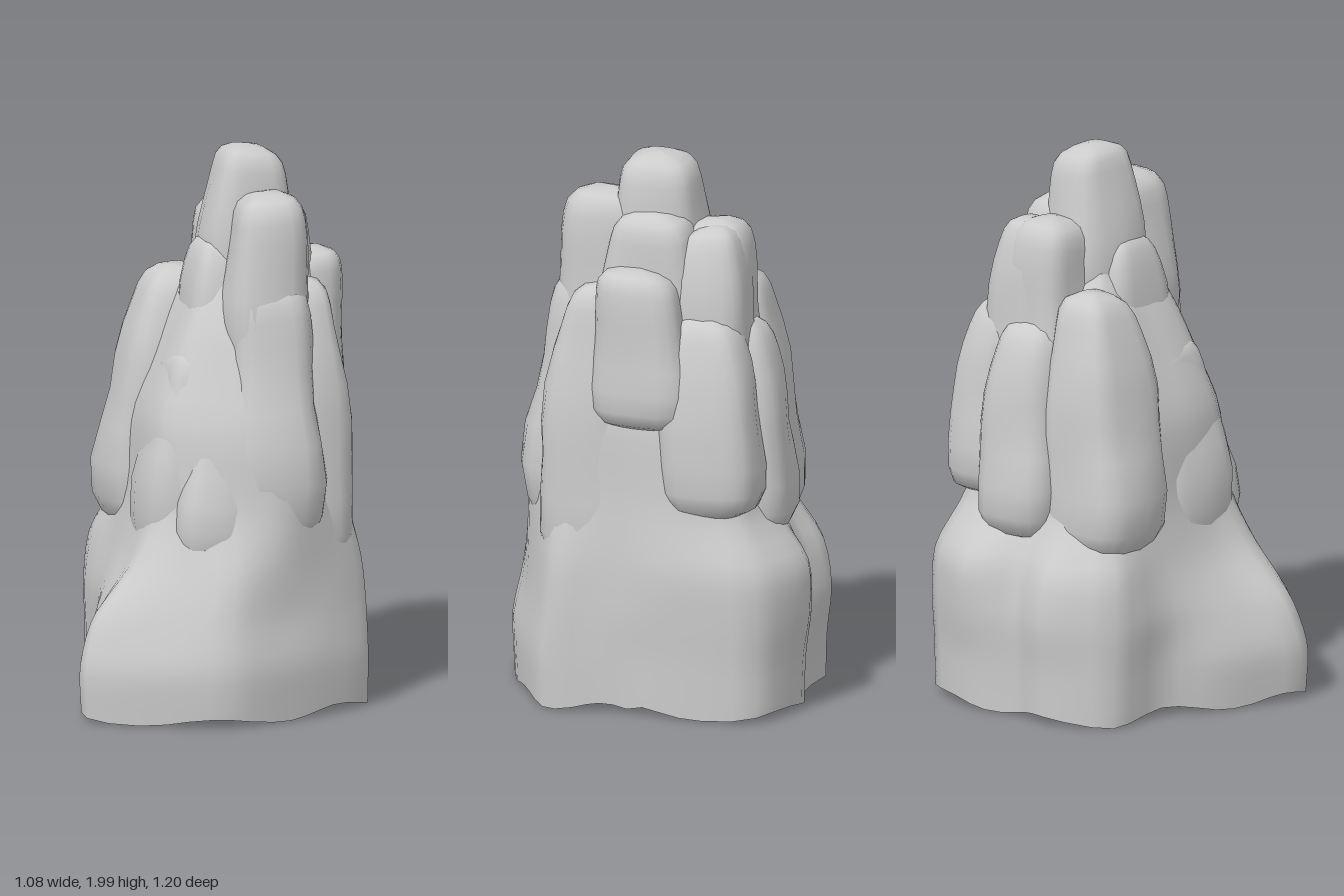
import * as THREE from 'three';

const stone = new THREE.MeshStandardMaterial({ color: 0xcccccc, side: THREE.DoubleSide });

// Smooth repeatable lumpiness, roughly -1..1
const lump = (x, y, z, s) =>
  (Math.sin(x * 13 + s * 1.7 + z * 6) + Math.sin(y * 11 + s * 2.3 + x * 7) + Math.sin(z * 14 + s * 3.1 - y * 5)) / 3;

// Plan outlines [x, z], going round from +x through the front
const foot = [[.50, 0], [.51, .15], [.52, .31], [.36, .43], [.18, .52], [-.05, .59], [-.28, .51], [-.53, .36], [-.50, .2],
  [-.43, 0], [-.33, -.18], [-.32, -.42], [-.1, -.55], [.06, -.52], [.24, -.57], [.49, -.48], [.52, -.2]];
const skirt = [[.51, 0], [.51, .15], [.52, .29], [.36, .41], [.18, .49], [-.05, .56], [-.27, .46], [-.49, .33], [-.44, .18],
  [-.39, 0], [-.34, -.18], [-.33, -.42], [-.1, -.57], [.06, -.53], [.24, -.6], [.5, -.49], [.53, -.2]];
const ledge = [[.5, 0], [.5, .15], [.5, .28], [.35, .39], [.18, .48], [-.02, .52], [-.2, .41], [-.33, .29], [-.32, .15],
  [-.31, 0], [-.30, -.18], [-.31, -.4], [-.1, -.54], [.06, -.5], [.24, -.59], [.49, -.47], [.53, -.2]];
const waist = [[.48, 0], [.48, .15], [.45, .28], [.33, .38], [.18, .46], [0, .43], [-.15, .35], [-.24, .25], [-.26, .12],
  [-.26, 0], [-.26, -.18], [-.23, -.34], [-.08, -.41], [.06, -.41], [.24, -.43], [.42, -.39], [.49, -.2]];

const shrink = (o, k) => o.map(([x, z]) => [.17 + (x - .17) * k, z * k]);

// Skin over equal rings of points, listed from the bottom up
function skin(rings) {
  const n = rings[0].length, index = [];
  for (let j = 0; j < rings.length - 1; j++)
    for (let i = 0; i < n; i++) {
      const a = j * n + i, b = j * n + (i + 1) % n;
      index.push(a, a + n, b, b, a + n, b + n);
    }
  const g = new THREE.BufferGeometry().setFromPoints(rings.flat());
  g.setIndex(index);
  g.computeVertexNormals();
  return g;
}

// Lofted core, open underneath
function coreGeometry() {
  const levels = [[.02, foot], [.2, shrink(foot, 1.01)], [.37, skirt], [.55, ledge], [.76, waist],
    [1.05, shrink(waist, .93)], [1.3, shrink(waist, .72)], [1.5, shrink(waist, .5)], [1.68, shrink(waist, .25)]];
  const rows = 30, cols = 51, rings = Array.from({ length: rows + 1 }, () => []);
  const hoops = levels.map(([y, o]) =>
    new THREE.CatmullRomCurve3(o.map(([x, z]) => new THREE.Vector3(x, y, z)), true, 'catmullrom', .4));
  for (let i = 0; i < cols; i++) {
    const rib = new THREE.CatmullRomCurve3(hoops.map(h => h.getPoint(i / cols)), false, 'catmullrom', .4);
    for (let j = 0; j <= rows; j++) {
      const p = rib.getPoint(j / rows);
      const k = 1 + .03 * lump(p.x, p.y, p.z, 2) * Math.min(1, p.y);
      p.set(.1 + (p.x - .1) * k, p.y + (j ? 0 : .015 * Math.sin(i * .9)), p.z * k);
      rings[j].push(p);
    }
  }
  return skin(rings);
}

// Height and width fractions of a weathered block: undercut foot, upright side, blunt sloping top
const profile = [[0, .5], [.04, .8], [.12, .95], [.25, 1], [.4, 1], [.55, .99], [.68, .97], [.79, .93], [.88, .87],
  [.94, .8], [.98, .66], [1, .4], [1, 0]];

// Squarish block filling the x, y and z ranges, narrowing and leaning upward
function blockGeometry([x0, x1], [y0, y1], [z0, z1], taper, leanX, leanZ, seed) {
  const sides = 20, sq = v => Math.sign(v) * Math.abs(v) ** .65;
  return skin(profile.map(([t, f]) => Array.from({ length: sides }, (_, i) => {
    const a = i / sides * Math.PI * 2, c = Math.cos(a), s = Math.sin(a);
    const up = Math.max(0, t - .3) / .7, w = f * (1 - taper * up);
    const x = (x0 + x1) / 2 + sq(c) * w * (x1 - x0) / 2 + leanX * up;
    const z = (z0 + z1) / 2 + sq(s) * w * (z1 - z0) / 2 + leanZ * up;
    const y = y0 + t * (y1 - y0), n = .028 * lump(x, y, z, seed) * f;
    const drop = t > .5 ? .04 * f * (1 + Math.sin(a + seed * 2)) / 2 : 0;
    return new THREE.Vector3(x + c * n, y - drop, z + s * n);
  })));
}

export function createModel() {
  const group = new THREE.Group();
  const add = (name, geometry) => {
    const m = new THREE.Mesh(geometry, stone);
    m.name = name;
    group.add(m);
  };
  add('rockBase', coreGeometry());

  // name, x range, y range, z range, taper, lean x, lean z
  const blocks = [
    ['summit', [0, .32], [1.35, 2], [-.21, .15], .12, .01, .01],
    ['frontShoulder', [.01, .32], [1.1, 1.86], [0, .36], .08, .01, -.02],
    ['backShoulder', [0, .31], [1.05, 1.77], [-.39, -.05], .1, 0, .01],
    ['leftShoulder', [.16, .41], [1.15, 1.81], [-.21, .17], .06, 0, 0],
    ['leftStep', [.24, .51], [1.04, 1.62], [-.22, .16], .1, 0, .02],
    ['backLeftSpur', [.1, .38], [1, 1.76], [-.4, -.1], .1, -.01, .01],
    ['backLeftColumn', [.22, .53], [.74, 1.46], [-.47, -.08], .25, -.02, .04],
    ['backColumn', [-.02, .31], [.62, 1.42], [-.51, -.15], .2, .01, .02],
    ['backRightColumn', [-.32, .08], [.58, 1.53], [-.45, -.04], .25, .06, .02],
    ['rightSpire', [-.12, .15], [.85, 1.68], [-.15, .2], .15, .03, 0],
    ['rightRidge', [-.29, .08], [.5, 1.3], [-.08, .33], .25, .04, -.02],
    ['frontColumn', [-.01, .34], [.6, 1.56], [.08, .46], .15, 0, -.05],
    ['frontLeftColumn', [.2, .49], [.5, 1.54], [0, .38], .2, -.01, -.03],
    ['frontRightColumn', [-.2, .12], [.5, 1.2], [.1, .43], .3, .04, -.04],
  ];
  blocks.forEach(([name, x, y, z, taper, lx, lz], i) =>
    add(name, blockGeometry(x, y, z, taper, lx, lz, i + 1)));
  return group;
}
